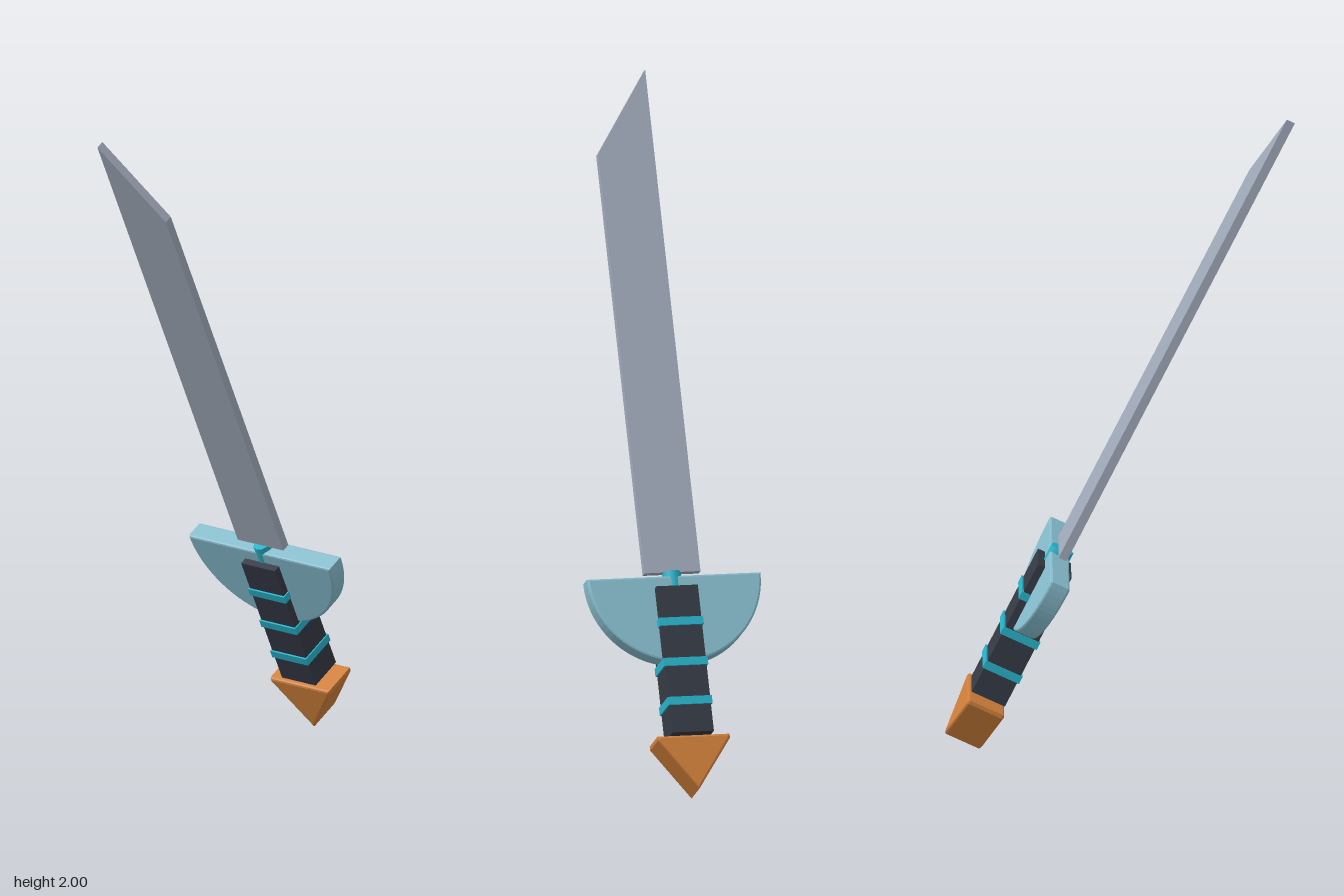
import * as THREE from 'three';

// Flat outline given thickness along z, centred, with a small bevel kept inside the outline
function plate(shape, depth, bevel, curveSegments = 12) {
  const geometry = new THREE.ExtrudeGeometry(shape, {
    depth: depth - 2 * bevel,
    bevelEnabled: bevel > 0,
    bevelThickness: bevel,
    bevelSize: bevel,
    bevelOffset: -bevel,
    bevelSegments: 2,
    curveSegments,
  });
  geometry.translate(0, 0, -depth / 2 + bevel);
  return geometry;
}

function polygon(points) {
  return new THREE.Shape(points.map(([x, y]) => new THREE.Vector2(x, y)));
}

function paint(name, color) {
  const material = new THREE.MeshStandardMaterial({ color });
  material.name = name;
  return material;
}

export function createModel() {
  const steel = paint('steel', 0xa0a9b9);
  const paleBlue = paint('pale blue', 0x86bccc);
  const charcoal = paint('charcoal', 0x343944);
  const teal = paint('teal', 0x27b2c8);
  const orange = paint('orange', 0xd07f3a);

  const model = new THREE.Group();
  model.name = 'sword';

  // Sword built upright with the blade root at the origin, then leaned forward
  const sword = new THREE.Group();
  sword.name = 'leaningSword';
  sword.position.set(0, 0.62, -0.17);
  sword.rotation.x = THREE.MathUtils.degToRad(25.9);
  model.add(sword);

  const add = (name, geometry, material, y = 0) => {
    const mesh = new THREE.Mesh(geometry, material);
    mesh.name = name;
    mesh.position.y = y;
    sword.add(mesh);
    return mesh;
  };

  // Blade with a slanted tip
  add('blade', plate(polygon([
    [-0.085, 0.005], [0.083, 0.005], [0.083, 1.277], [-0.085, 1.525],
  ]), 0.026, 0), steel);

  // Half-disc guard, flat edge up
  const halfDisc = new THREE.Shape();
  halfDisc.absarc(0, 0, 0.26, Math.PI, Math.PI * 2, false);
  halfDisc.closePath();
  add('guard', plate(halfDisc, 0.062, 0.006, 20), paleBlue, -0.01);

  // Collar joining blade, guard and grip
  const collar = add('collar', new THREE.CylinderGeometry(0.027, 0.027, 0.06, 10), teal, -0.024);
  collar.scale.z = 1.3;

  // Square grip with three raised bands
  add('grip', new THREE.BoxGeometry(0.124, 0.443, 0.107), charcoal, -0.268);
  for (const y of [-0.155, -0.277, -0.395]) {
    add('gripBand', new THREE.BoxGeometry(0.132, 0.024, 0.118), teal, y);
  }

  // Wedge pommel pointing down
  add('pommel', plate(polygon([
    [-0.108, -0.5], [-0.108, -0.512], [0, -0.662], [0.108, -0.512], [0.108, -0.5],
  ]), 0.118, 0.007), orange);

  return model;
}
